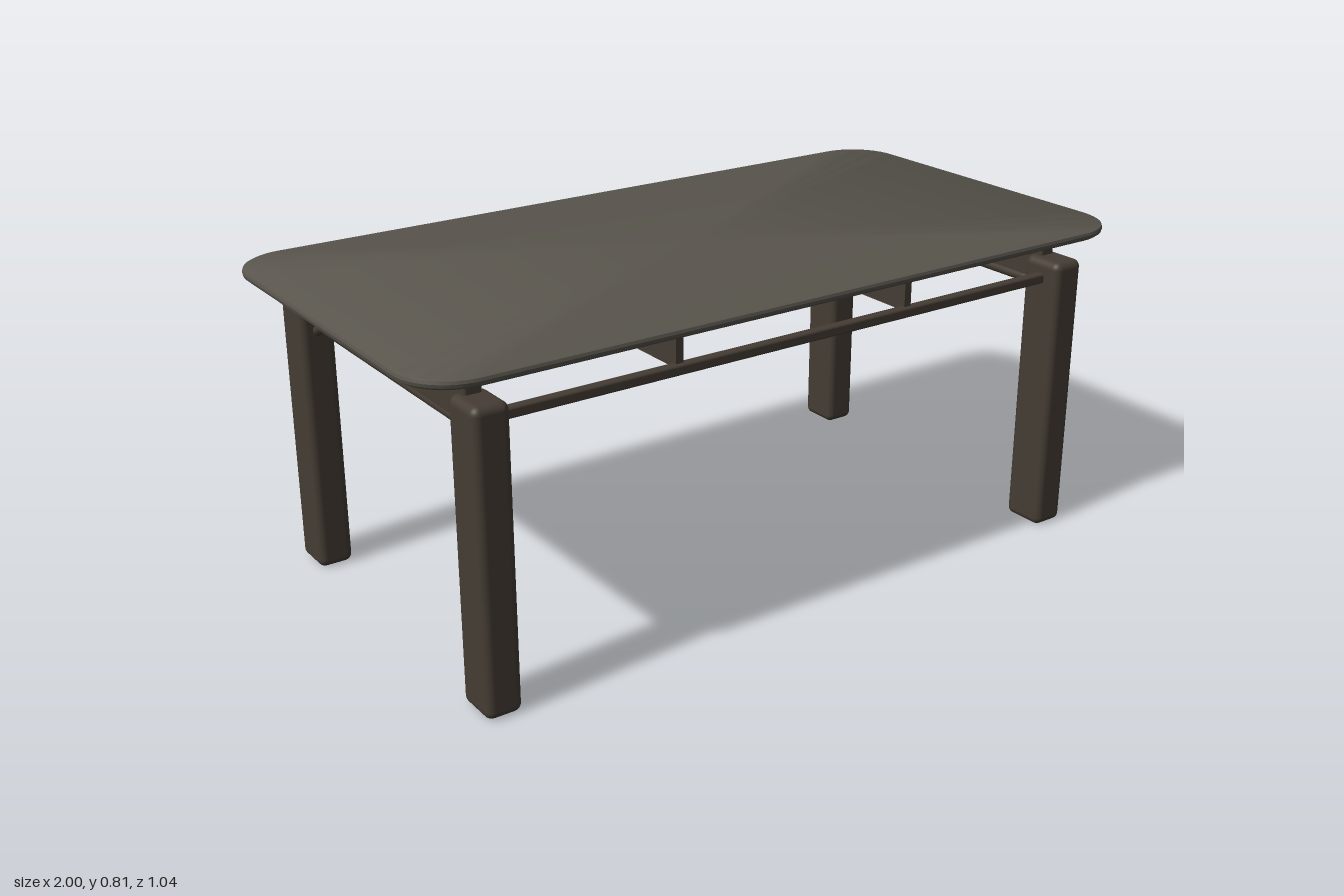
import * as THREE from 'three';
import { toCreasedNormals } from 'three/addons/utils/BufferGeometryUtils.js';
import { RoundedBoxGeometry } from 'three/addons/geometries/RoundedBoxGeometry.js';

const HALF_X = 1, HALF_Z = 0.518, CORNER = 0.135;
const LEG_X = 0.835, LEG_Z = 0.437;

// Rounded-rectangle ring, pulled in from the table edge by inset
function ring(inset, y, steps = 12) {
  const r = Math.max(CORNER - inset, 0.02);
  const cx = HALF_X - inset - r, cz = HALF_Z - inset - r;
  const points = [];
  [[1, 1], [-1, 1], [-1, -1], [1, -1]].forEach(([sx, sz], q) => {
    for (let i = 0; i <= steps; i++) {
      const a = (q + i / steps) * Math.PI / 2;
      points.push(sx * cx + r * Math.cos(a), y, sz * cz + r * Math.sin(a));
    }
  });
  return points;
}

// Slab lofted through rings, with a bevelled underside and closed caps
function topGeometry() {
  const profile = [
    [0.008, 0.814], [0.002, 0.811], [0, 0.804], [0.002, 0.796], [0.012, 0.789],
    [0.11, 0.769], [0.145, 0.746], [0.16, 0.744],
  ];
  const rings = profile.map(([inset, y]) => ring(inset, y));
  const n = rings[0].length / 3, last = (profile.length - 1) * n;
  const positions = rings.flat(), index = [];
  const topCentre = positions.length / 3, bottomCentre = topCentre + 1;
  positions.push(0, profile[0][1], 0, 0, profile[profile.length - 1][1], 0);
  for (let i = 0; i < n; i++) {
    const next = (i + 1) % n;
    for (let k = 0; k < last; k += n) {
      const a = k + i, b = k + next, c = a + n, d = b + n;
      index.push(a, b, c, b, d, c);
    }
    index.push(topCentre, next, i, bottomCentre, last + i, last + next);
  }
  const geometry = new THREE.BufferGeometry();
  geometry.setAttribute('position', new THREE.Float32BufferAttribute(positions, 3));
  geometry.setIndex(index);
  return toCreasedNormals(geometry, 0.5);
}

export function createModel() {
  const group = new THREE.Group();
  const material = (name, color) => {
    const m = new THREE.MeshStandardMaterial({ color });
    m.name = name;
    return m;
  };
  const topMaterial = material('grey brown top', 0x59554d);
  const frameMaterial = material('dark brown wood', 0x453d34);

  const add = (name, geometry, mat, x = 0, y = 0, z = 0) => {
    const mesh = new THREE.Mesh(geometry, mat);
    mesh.name = name;
    mesh.position.set(x, y, z);
    group.add(mesh);
    return mesh;
  };

  add('tableTop', topGeometry(), topMaterial);

  // Legs with the blocks that carry the top
  const legGeometry = new RoundedBoxGeometry(0.09, 0.735, 0.116, 4, 0.02);
  const blockGeometry = new RoundedBoxGeometry(0.045, 0.075, 0.05, 2, 0.008);
  for (const sx of [-1, 1]) {
    for (const sz of [-1, 1]) {
      add('leg', legGeometry, frameMaterial, sx * LEG_X, 0.3675, sz * LEG_Z);
      add('legBlock', blockGeometry, frameMaterial, sx * LEG_X, 0.737, sz * 0.39);
    }
  }

  // Long rails between the legs
  const railGeometry = new RoundedBoxGeometry(1.62, 0.026, 0.026, 2, 0.006);
  for (const sz of [-1, 1]) add('longRail', railGeometry, frameMaterial, 0, 0.687, sz * LEG_Z);

  // Cross bars joining the rails to the top
  const crossGeometry = new THREE.BoxGeometry(0.02, 0.08, 0.88);
  for (const sx of [-1, 1]) add('crossBar', crossGeometry, frameMaterial, sx * 0.335, 0.73, 0);

  // End aprons, each with a bent rod below
  const apronGeometry = new THREE.BoxGeometry(0.04, 0.08, 0.76);
  const rodPath = new THREE.CurvePath();
  const bend = [[0.632, -0.395], [0.657, -0.345], [0.657, 0.345], [0.632, 0.395]]
    .map(([y, z]) => new THREE.Vector3(0, y, z));
  for (let i = 0; i < 3; i++) rodPath.add(new THREE.LineCurve3(bend[i], bend[i + 1]));
  const rodGeometry = new THREE.TubeGeometry(rodPath, 64, 0.0135, 12);
  for (const sx of [-1, 1]) {
    add('endApron', apronGeometry, frameMaterial, sx * LEG_X, 0.712, 0);
    add('endRod', rodGeometry, frameMaterial, sx * LEG_X, 0, 0);
  }
  return group;
}
